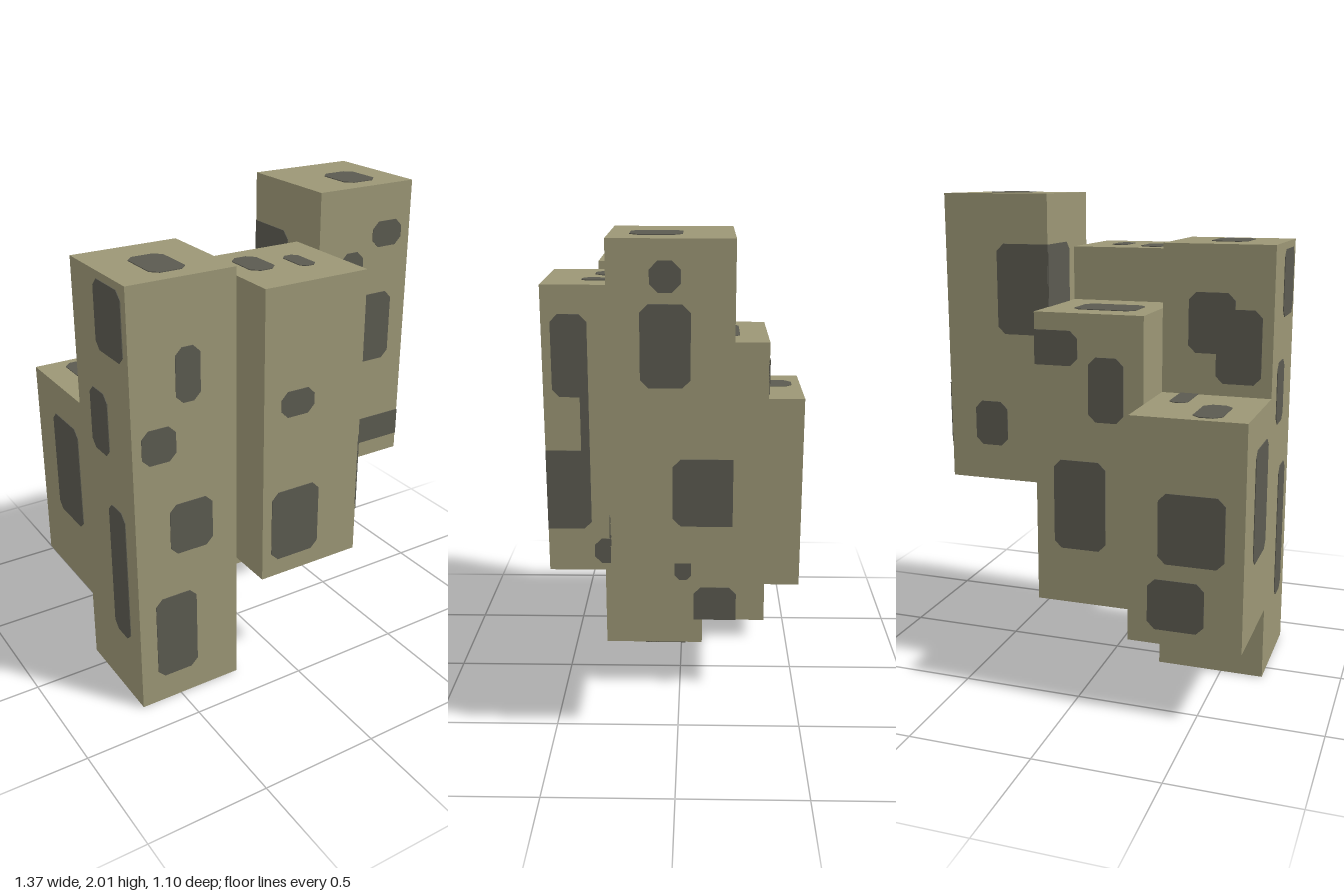
import * as THREE from 'three';

const bark = new THREE.MeshStandardMaterial({ color: 0x9b9675 });
bark.name = 'oliveBark';
const dark = new THREE.MeshStandardMaterial({ color: 0x5b5a50 });
dark.name = 'darkPatch';

const WIDTH = 0.453; // every column has the same square footprint
const PLATE = 0.006;

// A square column from y0 to y1, standing in one of three rows across x.
function addColumn(model, name, row, y0, y1, z) {
  const group = new THREE.Group();
  group.name = name;
  const height = y1 - y0;
  const body = new THREE.Mesh(new THREE.BoxGeometry(WIDTH, height, WIDTH), bark);
  body.name = 'column';
  body.position.set(row * WIDTH, y0 + height / 2, z);
  group.add(body);
  model.add(group);
  const bounds = new THREE.Box3().setFromObject(body);

  // A thin plate with clipped corners, trimmed where it overhangs the face.
  // Ranges run over (x, y) on front and back, (z, y) on sides, (x, z) on top and bottom.
  return function patch(face, h0, h1, v0, v1) {
    const side = face === 'left' || face === 'right';
    const flat = face === 'top' || face === 'bottom';
    const [h, v, n] = side ? ['z', 'y', 'x'] : flat ? ['x', 'z', 'y'] : ['x', 'y', 'z'];
    const { min, max } = bounds;
    const c = Math.min(0.03, (h1 - h0) * 0.28, (v1 - v0) * 0.28);
    const outline = [
      [h0 + c, v0], [h1 - c, v0], [h1, v0 + c], [h1, v1 - c],
      [h1 - c, v1], [h0 + c, v1], [h0, v1 - c], [h0, v0 + c],
    ].map(([a, b]) => new THREE.Vector2(
      THREE.MathUtils.clamp(a, min[h], max[h]),
      THREE.MathUtils.clamp(b, min[v], max[v]),
    ));
    const geometry = new THREE.ExtrudeGeometry(new THREE.Shape(outline), { depth: PLATE, bevelEnabled: false });
    const mesh = new THREE.Mesh(geometry.translate(0, 0, -PLATE / 2), dark);
    mesh.name = face + 'Patch';
    if (side) mesh.rotation.y = -Math.PI / 2;
    if (flat) mesh.rotation.x = Math.PI / 2;
    mesh.position[n] = (['front', 'left', 'top'].includes(face) ? max : min)[n];
    group.add(mesh);
  };
}

export function createModel() {
  const model = new THREE.Group();
  model.name = 'steppedColumnCluster';

  // Tall column at the model's front right, reaching the ground
  let patch = addColumn(model, 'tallRightColumn', -1, 0, 1.81, 0.129);
  patch('front', -0.49, -0.385, 1.325, 1.545);
  patch('front', -0.64, -0.495, 1.1, 1.245);
  patch('front', -0.53, -0.34, 0.685, 0.905);
  patch('front', -0.605, -0.42, 0.12, 0.495);
  patch('back', -0.525, -0.335, 1.375, 1.62);
  patch('back', -0.635, -0.45, 1.255, 1.555);
  patch('right', 0.1, 0.32, 1.505, 1.78);
  patch('right', 0.015, 0.165, 1.07, 1.33);
  patch('right', 0.13, 0.27, 0.275, 0.865);
  patch('top', -0.53, -0.38, 0.055, 0.28);
  patch('bottom', -0.37, -0.18, -0.02, 0.17);

  // Short column behind it
  patch = addColumn(model, 'shortBackColumn', -1, 0.305, 1.205, -0.324);
  patch('back', -0.605, -0.345, 0.635, 0.915);
  patch('back', -0.53, -0.305, 0.365, 0.57);
  patch('right', -0.385, -0.14, 0.6, 1.06);
  patch('top', -0.57, -0.455, -0.51, -0.285);
  patch('top', -0.38, -0.305, -0.285, -0.05);

  // Middle column at the front
  patch = addColumn(model, 'middleFrontColumn', 0, 0.573, 1.775, 0.32);
  patch('front', -0.15, 0, 1.255, 1.36);
  patch('front', -0.185, 0.035, 0.645, 0.945);
  patch('left', 0.365, 0.51, 1.325, 1.66);
  patch('left', 0.365, 0.4, 1.05, 1.38);
  patch('left', 0.365, 0.6, 0.76, 1.1);
  patch('left', 0.175, 0.355, 0.605, 0.715);
  patch('top', -0.15, -0.04, 0.17, 0.355);
  patch('top', 0.04, 0.11, 0.245, 0.395);
  patch('bottom', -0.1, 0.09, 0.24, 0.36);

  // Middle column at the back
  patch = addColumn(model, 'middleBackColumn', 0, 0.345, 1.55, -0.133);
  patch('back', 0.045, 0.28, 1.34, 1.48);
  patch('back', -0.145, 0, 1.12, 1.38);
  patch('back', -0.07, 0.15, 0.58, 0.955);
  patch('left', -0.05, 0.02, 0.53, 0.685);
  patch('left', -0.24, -0.06, 0.3, 0.495);
  patch('top', -0.15, 0.11, -0.245, -0.06);
  patch('bottom', -0.215, 0.06, -0.305, -0.07);

  // Raised column on the model's left
  patch = addColumn(model, 'highLeftColumn', 1, 0.8, 2, 0.02);
  patch('front', 0.335, 0.445, 1.55, 1.74);
  patch('front', 0.4, 0.47, 1.5, 1.59);
  patch('front', 0.415, 0.6, 1.255, 1.55);
  patch('front', 0.49, 0.635, 1.745, 1.85);
  patch('front', 0.335, 0.74, 0.87, 0.985);
  patch('back', 0.17, 0.45, 1.43, 1.8);
  patch('back', 0.42, 0.565, 0.95, 1.14);
  patch('left', -0.015, 0.095, 1.815, 1.925);
  patch('left', -0.05, 0.13, 1.475, 1.775);
  patch('left', -0.26, 0.015, 0.95, 1.21);
  patch('right', -0.26, 0.03, 1.43, 1.8);
  patch('top', 0.415, 0.565, -0.02, 0.17);
  patch('bottom', 0.55, 0.67, -0.19, -0.07);
  patch('bottom', 0.33, 0.45, -0.03, 0.09);

  return model;
}
